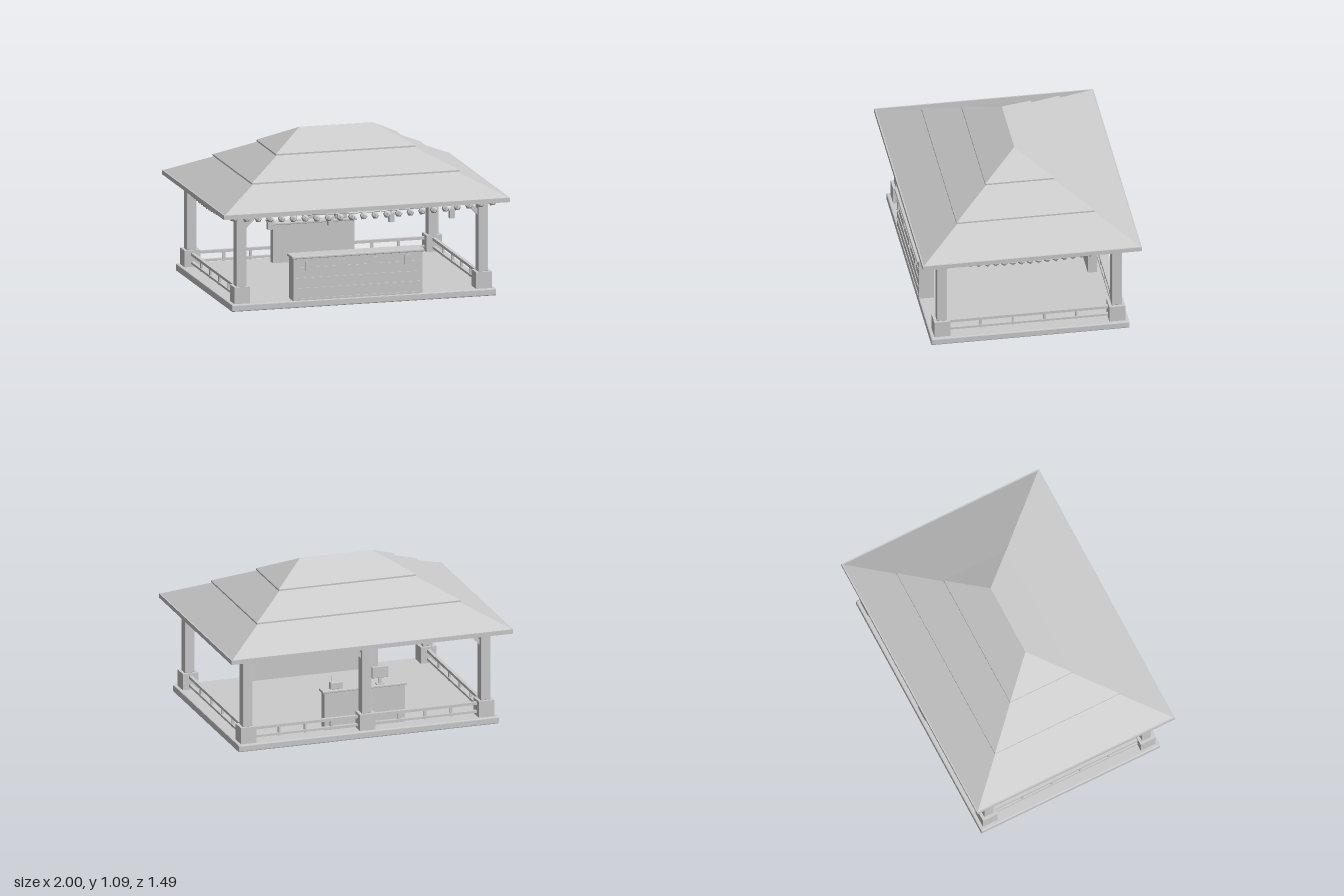
import * as THREE from 'three';
import { RoundedBoxGeometry } from 'three/addons/geometries/RoundedBoxGeometry.js';

export function createModel() {
  const root = new THREE.Group();
  root.name = 'pavilion';
  const grey = new THREE.MeshStandardMaterial({ color: 0xcccccc, flatShading: true, side: THREE.DoubleSide });
  grey.name = 'plainGrey';

  const add = (name, geometry, x = 0, y = 0, z = 0) => {
    const mesh = new THREE.Mesh(geometry, grey);
    mesh.name = name;
    mesh.position.set(x, y, z);
    root.add(mesh);
    return mesh;
  };
  // Box given by its extents; bevel > 0 chamfers the edges
  const box = (name, x0, x1, y0, y1, z0, z1, bevel = 0) => {
    const w = x1 - x0, h = y1 - y0, d = z1 - z0;
    const g = bevel ? new RoundedBoxGeometry(w, h, d, 1, bevel) : new THREE.BoxGeometry(w, h, d);
    return add(name, g, (x0 + x1) / 2, (y0 + y1) / 2, (z0 + z1) / 2);
  };
  // Square bar between two points
  const bar = (name, a, b, t) => {
    const p = new THREE.Vector3(...a), q = new THREE.Vector3(...b);
    const mesh = add(name, new THREE.BoxGeometry(t, t, p.distanceTo(q)));
    mesh.position.copy(p).add(q).multiplyScalar(0.5);
    mesh.lookAt(q);
    return mesh;
  };

  // Floor
  box('floor', -0.925, 0.925, 0, 0.048, -0.675, 0.675, 0.007);

  // Posts on square footings, with diagonal braces up to the beams
  const PX = 0.845, PZ = 0.595;
  const post = (x, z) => {
    box('postFooting', x - 0.055, x + 0.055, 0.048, 0.162, z - 0.055, z + 0.055);
    box('post', x - 0.035, x + 0.035, 0.16, 0.7, z - 0.035, z + 0.035, 0.005);
  };
  const braceX = (x, z, s) => bar('brace', [x + s * 0.025, 0.56, z], [x + s * 0.135, 0.67, z], 0.028);
  const braceZ = (x, z, s) => bar('brace', [x, 0.56, z + s * 0.025], [x, 0.67, z + s * 0.135], 0.028);
  for (const sx of [-1, 1]) {
    for (const sz of [-1, 1]) {
      post(sx * PX, sz * PZ);
      braceX(sx * PX, sz * PZ, -sx);
      braceZ(sx * PX, sz * PZ, -sz);
    }
    braceX(0, -PZ, sx);
  }
  post(0, -PZ);

  // Beams joining the post tops, and the frame along the eaves
  for (const s of [-1, 1]) {
    box('longBeam', -PX, PX, 0.652, 0.71, s * PZ - 0.025, s * PZ + 0.025);
    box('crossBeam', s * PX - 0.025, s * PX + 0.025, 0.652, 0.71, -PZ, PZ);
    box('longEave', -1, 1, 0.652, 0.682, s * 0.725 - 0.02, s * 0.725 + 0.02);
    box('sideEave', s * 0.98 - 0.02, s * 0.98 + 0.02, 0.652, 0.682, -0.705, 0.705);
  }

  // Hipped roof tier: four sheets through [half x, y, half z] rings, open inside
  const tier = (name, rings) => {
    const v = [];
    const corner = ([x, y, z], i) => [[x, y, z], [x, y, -z], [-x, y, -z], [-x, y, z]][i % 4];
    for (let r = 0; r + 1 < rings.length; r++) {
      for (let i = 0; i < 4; i++) {
        const a = corner(rings[r], i), b = corner(rings[r], i + 1);
        const c = corner(rings[r + 1], i + 1), d = corner(rings[r + 1], i);
        v.push(...a, ...b, ...c, ...a, ...c, ...d);
      }
    }
    const g = new THREE.BufferGeometry();
    g.setAttribute('position', new THREE.Float32BufferAttribute(v, 3));
    g.computeVertexNormals();
    add(name, g);
  };
  tier('lowerRoof', [[0.995, 0.68, 0.74], [0.71, 0.822, 0.455]]);
  tier('middleRoof', [[0.705, 0.82, 0.45], [0.725, 0.82, 0.47], [0.725, 0.831, 0.47], [0.475, 0.957, 0.222]]);
  tier('upperRoof', [[0.47, 0.955, 0.217], [0.488, 0.955, 0.235], [0.488, 0.966, 0.235], [0.256, 1.09, 0]]);

  // Railings on both sides and along the back
  const RAILS = [[0.126, 0.145], [0.07, 0.085]];
  for (const s of [-1, 1]) {
    for (const [y0, y1] of RAILS) {
      box('sideRail', s * PX - 0.012, s * PX + 0.012, y0, y1, -0.545, 0.545);
      const [a, b] = s > 0 ? [0.05, 0.795] : [-0.795, -0.05];
      box('backRail', a, b, y0, y1, -PZ - 0.012, -PZ + 0.012);
    }
    for (const z of [-0.325, -0.108, 0.108, 0.325])
      box('sideBaluster', s * PX - 0.008, s * PX + 0.008, 0.063, 0.135, z - 0.008, z + 0.008);
    for (const x of [0.24, 0.425, 0.61])
      box('backBaluster', s * x - 0.008, s * x + 0.008, 0.063, 0.135, -PZ - 0.008, -PZ + 0.008);
  }

  // Front counter with plank battens and swallow-tailed pennants
  box('frontCounter', -0.495, 0.41, 0.048, 0.34, 0.57, 0.672);
  box('frontCounterTop', -0.507, 0.418, 0.338, 0.356, 0.555, 0.69, 0.005);
  for (const y of [0.06, 0.13, 0.2, 0.27])
    box('counterBatten', -0.48, 0.39, y - 0.005, y + 0.005, 0.67, 0.678);
  const flag = new THREE.Shape([[-0.022, 0.032], [0.022, 0.032], [0.022, -0.034], [0, -0.016], [-0.022, -0.034]]
    .map(([x, y]) => new THREE.Vector2(x, y)));
  const flagGeometry = new THREE.ExtrudeGeometry(flag, { depth: 0.008, bevelEnabled: false });
  for (const x of [-0.39, -0.16, 0.07, 0.303]) add('pennant', flagGeometry, x, 0.288, 0.68);

  // Back counter with a screen and a small radio
  box('backCounter', -0.295, 0.275, 0.048, 0.312, -0.56, -0.498);
  box('backCounterTop', -0.31, 0.29, 0.31, 0.326, -0.567, -0.488, 0.004);
  box('screen', -0.186, -0.07, 0.37, 0.45, -0.54, -0.524, 0.003);
  box('screenStand', -0.138, -0.118, 0.326, 0.38, -0.538, -0.528);
  box('screenFoot', -0.155, -0.1, 0.325, 0.333, -0.55, -0.51);
  box('radio', 0.143, 0.227, 0.325, 0.374, -0.545, -0.508, 0.004);
  add('antenna', new THREE.CylinderGeometry(0.002, 0.002, 0.055, 6), 0.214, 0.395, -0.53);

  // Lanterns under the front beam
  for (const x of [-0.635, -0.213, 0.213, 0.635]) {
    box('lanternHook', x - 0.004, x + 0.004, 0.595, 0.655, PZ - 0.004, PZ + 0.004);
    box('lanternCap', x - 0.024, x + 0.024, 0.588, 0.6, PZ - 0.024, PZ + 0.024);
    box('lantern', x - 0.018, x + 0.018, 0.535, 0.59, PZ - 0.018, PZ + 0.018);
  }

  // Sagging strings of bulbs along the front and both sides
  const bulbGeometry = new THREE.IcosahedronGeometry(0.027, 0);
  const bulbString = (a, b) => {
    const points = [];
    for (let i = 0; i <= 22; i++) {
      const t = i / 22;
      const p = new THREE.Vector3().lerpVectors(a, b, t);
      p.y -= 0.04 * 4 * t * (1 - t);
      points.push(p);
      add('bulb', bulbGeometry, p.x, p.y, p.z);
    }
    const wire = points.map((p) => p.clone().setY(p.y + 0.024));
    add('bulbWire', new THREE.TubeGeometry(new THREE.CatmullRomCurve3(wire), 44, 0.004, 5));
  };
  const V = (x, z) => new THREE.Vector3(x, 0.642, z);
  bulbString(V(-0.9, 0.66), V(0.9, 0.66));
  for (const s of [-1, 1]) bulbString(V(s * 0.91, -0.64), V(s * 0.91, 0.64));

  return root;
}
